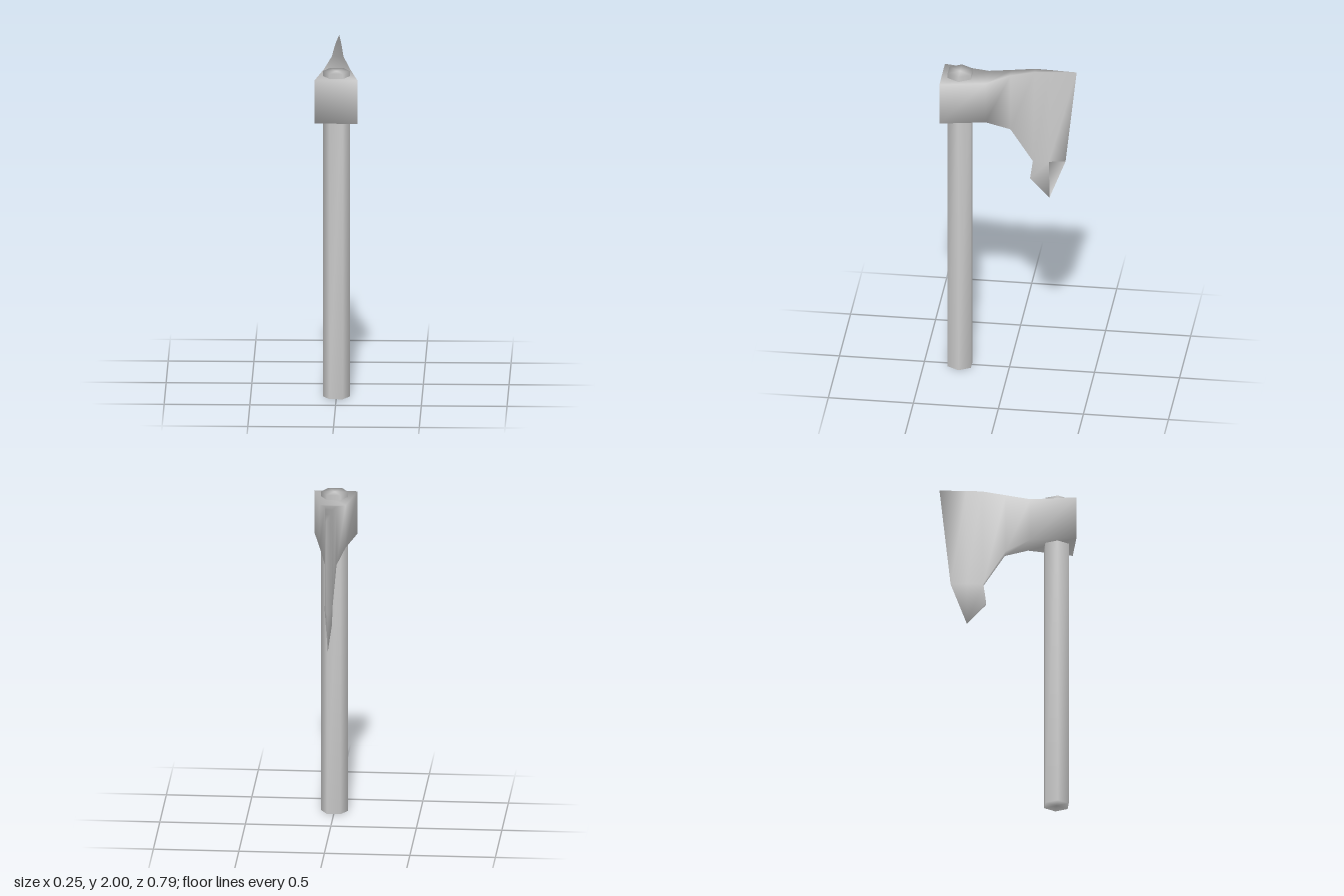
import * as THREE from 'three';
import { mergeVertices } from 'three/addons/utils/BufferGeometryUtils.js';

const material = new THREE.MeshStandardMaterial({ color: 0xcccccc });

// Weld all vertices so the shading runs smoothly over every edge
function smooth(geometry) {
  geometry.deleteAttribute('normal');
  geometry.deleteAttribute('uv');
  const welded = mergeVertices(geometry, 1e-4);
  welded.computeVertexNormals();
  return welded;
}

function addPart(group, name, geometry) {
  const mesh = new THREE.Mesh(smooth(geometry), material);
  mesh.name = name;
  group.add(mesh);
  return mesh;
}

// Head: one side as points [z, y, half width], mirrored and joined by a rim
function headGeometry() {
  const points = [
    [0.396, 1.93, 0.126], [0.396, 1.67, 0.126],   // butt: top, bottom
    [0.13, 1.93, 0.076], [0.13, 1.67, 0.076],     // neck
    [-0.01, 1.97, 0.034], [-0.01, 1.61, 0.034],   // start of the blade
    [-0.15, 1.995, 0.021], [-0.14, 1.4, 0.021],   // blade
    [-0.24, 1.997, 0.014], [-0.235, 1.4, 0.018],  // bevel line
    [-0.395, 2.0, 0], [-0.33, 1.4, 0],            // cutting edge
    [-0.123, 1.28, 0.016], [-0.235, 1.15, 0],     // beard: inner corner, tip
  ];
  const faces = [[12, 13, 9, 7], [13, 11, 9]];
  for (let i = 0; i < 10; i += 2) faces.push([i + 1, i + 3, i + 2, i]);
  const outline = [1, 3, 5, 7, 12, 13, 11, 10, 8, 6, 4, 2, 0];

  const n = points.length;
  const positions = [];
  for (const side of [1, -1]) {
    for (const [z, y, w] of points) positions.push(side * w, y, z);
  }
  const index = [];
  const addFace = (f) => {
    for (let k = 1; k < f.length - 1; k++) index.push(f[0], f[k], f[k + 1]);
  };
  for (const f of faces) {
    addFace(f);
    addFace(f.map((v) => v + n).reverse());
  }
  outline.forEach((a, i) => {
    const b = outline[(i + 1) % outline.length];
    addFace([b, a, a + n, b + n]);
  });

  const geometry = new THREE.BufferGeometry();
  geometry.setAttribute('position', new THREE.Float32BufferAttribute(positions, 3));
  geometry.setIndex(index);
  return geometry;
}

export function createModel() {
  const group = new THREE.Group();
  group.name = 'axe';

  // Six-sided handle, passing through the head
  const handle = new THREE.CylinderGeometry(0.079, 0.079, 1.96, 6);
  handle.rotateY(Math.PI / 6);
  addPart(group, 'handle', handle).position.set(0, 0.98, 0.29);

  addPart(group, 'axeHead', headGeometry());
  return group;
}
